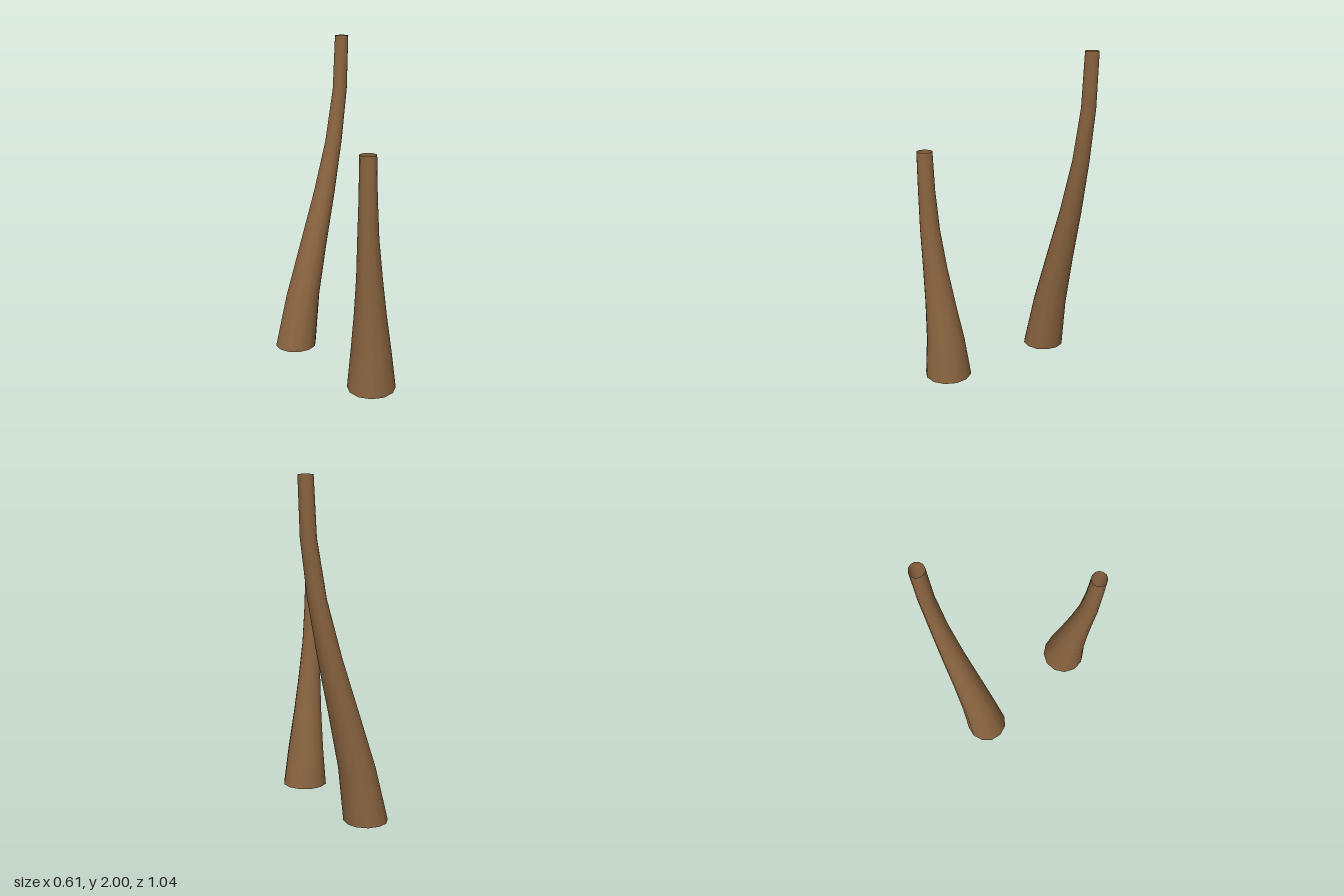
import * as THREE from 'three';

const bark = new THREE.MeshStandardMaterial({ color: 0x8b6540, side: THREE.DoubleSide });
bark.name = 'bark brown';

// Open, bending, tapering trunk; each ring is [centre x, centre z, radius] at even heights
function makeTrunk(name, height, twist, rings) {
  const geo = new THREE.CylinderGeometry(1, 1, 1, 12, rings.length - 1, true, twist);
  const pos = geo.attributes.position;
  for (let i = 0; i < pos.count; i++) {
    const t = pos.getY(i) + 0.5;
    const [cx, cz, r] = rings[Math.round(t * (rings.length - 1))];
    pos.setXYZ(i, cx + pos.getX(i) * r, t * height, cz + pos.getZ(i) * r);
  }
  // Smooth normals, averaged across the side seam
  geo.computeVertexNormals();
  const n = geo.attributes.normal;
  const a = new THREE.Vector3(), b = new THREE.Vector3();
  for (let row = 0; row < rings.length; row++) {
    const first = row * 13, last = first + 12;
    a.fromBufferAttribute(n, first).add(b.fromBufferAttribute(n, last)).normalize();
    n.setXYZ(first, a.x, a.y, a.z);
    n.setXYZ(last, a.x, a.y, a.z);
  }
  const mesh = new THREE.Mesh(geo, bark);
  mesh.name = name;
  return mesh;
}

export function createModel() {
  const group = new THREE.Group();
  group.name = 'trunks';

  // Tall trunk at the back, leaning to its left
  group.add(makeTrunk('tallTrunk', 2, 0.04, [
    [-0.145, -0.385, 0.133], [-0.08, -0.385, 0.11], [0.012, -0.384, 0.089],
    [0.108, -0.384, 0.07], [0.19, -0.383, 0.054], [0.245, -0.383, 0.046], [0.262, -0.383, 0.043],
  ]));

  // Short trunk at the front, leaning to its right and forward
  group.add(makeTrunk('shortTrunk', 1.43, 0.31, [
    [-0.163, 0.377, 0.145], [-0.174, 0.384, 0.12], [-0.197, 0.4, 0.095],
    [-0.221, 0.417, 0.075], [-0.244, 0.43, 0.061], [-0.254, 0.438, 0.052], [-0.259, 0.441, 0.048],
  ]));

  return group;
}
